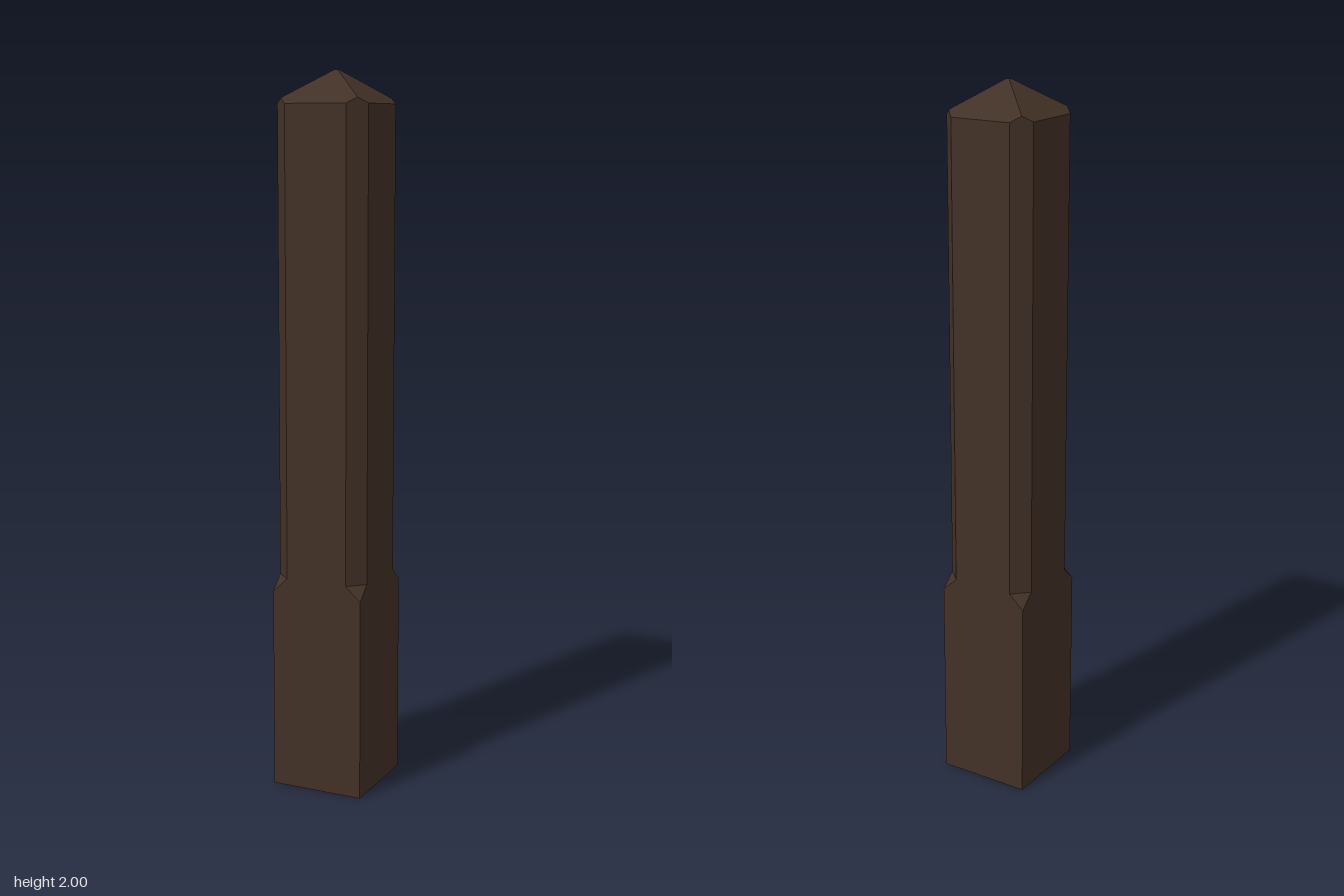
import * as THREE from 'three';

const S = 0.134;            // half width of the post
const C = 0.09;             // half width of a face between chamfers
const M = (S + C) / 2;      // middle of a chamfer
const T = 0.005;            // half width of the flat tip
const CORNER = 0.57, STOP = 0.61, EAVE = 1.91, TOP = 2;
const PEAK = EAVE + (TOP - EAVE) * (S - M) / (S - T); // chamfer meets the cap ridge

// Flat-shaded mesh from convex polygons, each repeated on all four sides
function fourSided(name, polygons, extra, material) {
  const positions = [];
  const fan = (points) => {
    for (let i = 1; i < points.length - 1; i++) {
      for (const p of [points[0], points[i], points[i + 1]]) positions.push(...p);
    }
  };
  for (let side = 0; side < 4; side++) {
    for (const polygon of polygons) {
      fan(polygon.map((p) => {
        let [x, y, z] = p;
        for (let i = 0; i < side; i++) [x, z] = [z, -x];
        return [x, y, z];
      }));
    }
  }
  if (extra) fan(extra);
  const geometry = new THREE.BufferGeometry();
  geometry.setAttribute('position', new THREE.Float32BufferAttribute(positions, 3));
  geometry.computeVertexNormals();
  const mesh = new THREE.Mesh(geometry, material);
  mesh.name = name;
  return mesh;
}

export function createModel() {
  const wood = new THREE.MeshStandardMaterial({ color: 0x423126 });
  wood.name = 'darkWood';
  const post = new THREE.Group();
  post.name = 'post';

  // Square base with sloped chamfer stops at the corners
  post.add(fourSided('base', [
    [[-S, 0, S], [S, 0, S], [S, CORNER, S], [C, STOP, S], [-C, STOP, S], [-S, CORNER, S]],
    [[C, STOP, S], [S, CORNER, S], [S, STOP, C]],
  ], [[-S, 0, -S], [S, 0, -S], [S, 0, S], [-S, 0, S]], wood));

  // Chamfered shaft
  post.add(fourSided('shaft', [
    [[-C, STOP, S], [C, STOP, S], [C, EAVE, S], [-C, EAVE, S]],
    [[C, STOP, S], [S, STOP, C], [S, EAVE, C], [M, PEAK, M], [C, EAVE, S]],
  ], null, wood));

  // Pyramid cap with a tiny flat tip
  post.add(fourSided('cap', [
    [[-C, EAVE, S], [C, EAVE, S], [M, PEAK, M], [T, TOP, T], [-T, TOP, T], [-M, PEAK, M]],
  ], [[-T, TOP, T], [T, TOP, T], [T, TOP, -T], [-T, TOP, -T]], wood));

  return post;
}
